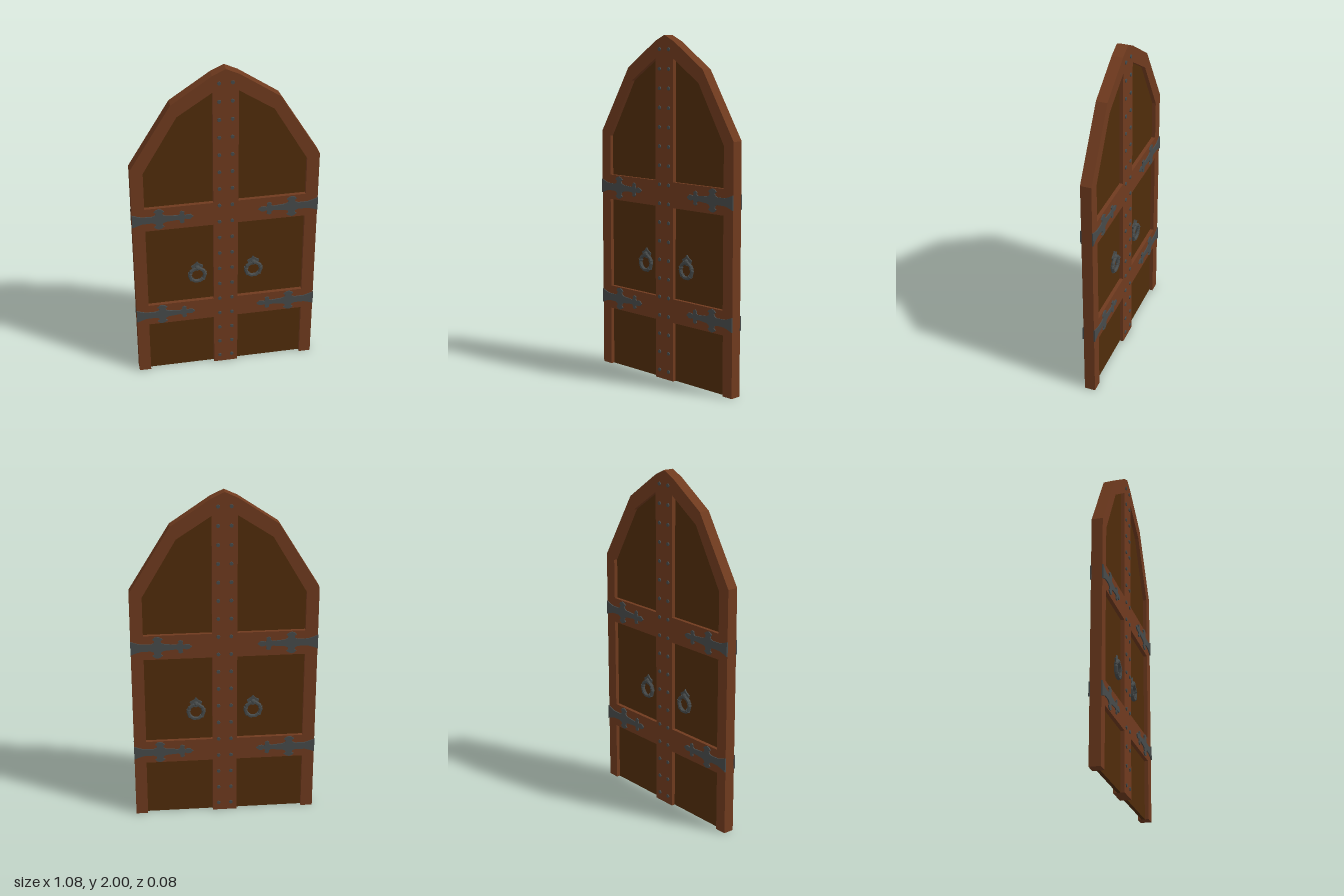
import * as THREE from 'three';

const mat = (name, color) => {
  const m = new THREE.MeshStandardMaterial({ color });
  m.name = name;
  return m;
};
const vectors = pts => pts.map(([x, y]) => new THREE.Vector2(x, y));
// Mirror a loop to side s, keeping its winding
const sided = (pts, s) => (s > 0 ? pts : pts.map(([x, y]) => [-x, y]).reverse());
const slab = (pts, z0, z1, holes = []) => {
  const shape = new THREE.Shape(vectors(pts));
  shape.holes = holes.map(h => new THREE.Path(vectors(h)));
  return new THREE.ExtrudeGeometry(shape, { depth: z1 - z0, bevelEnabled: false }).translate(0, 0, z0);
};
const faceted = geo => {
  const g = geo.toNonIndexed();
  g.computeVertexNormals();
  return g;
};

const HALF = 0.032;   // half thickness of the frame
const PROUD = 0.038;  // face of the ironwork
const PANEL = 0.01;   // half thickness of the recessed panels

// One leaf outline, open at the foot between post and stile
const outline = [
  [0, 0], [0.072, 0], [0.072, 0.35], [0.467, 0.35], [0.467, 0], [0.537, 0],
  [0.537, 1.43], [0.302, 1.812], [0.075, 1.965], [0, 2],
];
const openings = {
  lowerPanel: [[0.072, 0], [0.467, 0], [0.467, 0.35], [0.072, 0.35]],
  middlePanel: [[0.072, 0.49], [0.465, 0.49], [0.465, 1.022], [0.072, 1.022]],
  upperPanel: [[0.072, 1.17], [0.465, 1.17], [0.465, 1.405], [0.27, 1.738], [0.072, 1.868]],
};

// Upper half of a strap hinge, from the tip out to the door edge
const strapEdge = [
  [0.188, 0], [0.205, 0.015], [0.222, 0.016], [0.236, 0.01], [0.242, 0.022], [0.238, 0.034],
  [0.254, 0.042], [0.266, 0.034], [0.264, 0.022], [0.276, 0.014], [0.345, 0.02], [0.362, 0.028],
  [0.366, 0.042], [0.354, 0.05], [0.37, 0.062], [0.386, 0.067], [0.402, 0.062], [0.414, 0.05],
  [0.402, 0.042], [0.406, 0.028], [0.424, 0.021], [0.48, 0.022], [0.51, 0.031], [0.538, 0.042],
];

export function createModel() {
  const wood = mat('frame wood', 0x6f3a1e);
  const dark = mat('panel wood', 0x502c0a);
  const iron = mat('iron', 0x464a4a);
  const door = new THREE.Group();
  door.name = 'archedDoubleDoor';
  const add = (parent, name, geo, m) => {
    const mesh = new THREE.Mesh(geo, m);
    mesh.name = name;
    parent.add(mesh);
    return mesh;
  };

  // Wooden leaves and their recessed panels
  for (const s of [1, -1]) {
    const leaf = new THREE.Group();
    leaf.name = s > 0 ? 'leftLeaf' : 'rightLeaf';
    door.add(leaf);
    const holes = [openings.middlePanel, openings.upperPanel].map(p => sided(p, s));
    add(leaf, 'frame', slab(sided(outline, s), -HALF, HALF, holes), wood);
    for (const [name, pts] of Object.entries(openings))
      add(leaf, name, slab(sided(pts, s), -PANEL, PANEL), dark);
  }

  // Ironwork shapes, shared by both faces
  const strapGeo = slab(
    [...strapEdge, ...strapEdge.slice(1).reverse().map(([x, y]) => [x, -y])], HALF - 0.002, PROUD);
  const rivetGeo = faceted(new THREE.CylinderGeometry(0.0105, 0.0115, 0.008, 8)
    .rotateX(Math.PI / 2).translate(0, 0, PROUD - 0.004));
  const plateGeo = slab([
    [0, 0.09], [-0.012, 0.074], [-0.036, 0.06], [-0.028, 0.036],
    [0, 0.026], [0.028, 0.036], [0.036, 0.06], [0.012, 0.074],
  ], PANEL, PANEL + 0.008);
  const ringGeo = faceted(new THREE.TorusGeometry(0.046, 0.0115, 6, 10));
  const knobGeo = faceted(new THREE.SphereGeometry(0.016, 8, 6));
  const collarGeo = faceted(new THREE.TorusGeometry(0.0115, 0.003, 4, 8));

  for (const turn of [0, Math.PI]) {
    const side = new THREE.Group();
    side.name = turn ? 'backIronwork' : 'frontIronwork';
    side.rotation.y = turn;
    door.add(side);
    for (const s of [1, -1]) {
      // Strap hinges, rolled half a turn for the other side
      for (const y of [0.42, 1.098]) {
        const hinge = add(side, 'strapHinge', strapGeo, iron);
        hinge.position.y = y;
        if (s < 0) hinge.rotation.z = Math.PI;
      }
      // Column of rivets on the centre post
      for (let i = 0; i < 18; i++)
        add(side, 'rivet', rivetGeo, iron).position.set(s * 0.037, 0.05 + i * 0.11, 0);
      // Ring pull with small collars
      const handle = new THREE.Group();
      handle.name = 'ringHandle';
      handle.position.set(s * 0.168, 0.672, 0);
      side.add(handle);
      add(handle, 'backPlate', plateGeo, iron);
      add(handle, 'ring', ringGeo, iron).position.z = 0.0205;
      add(handle, 'knob', knobGeo, iron).position.set(0, 0.05, 0.018);
      for (const a of [-2.4, -0.74, 0.3, 2.84]) {
        const collar = add(handle, 'ringCollar', collarGeo, iron);
        collar.position.set(0.045 * Math.cos(a), 0.045 * Math.sin(a), 0.0205);
        collar.rotation.set(Math.PI / 2, a, 0, 'ZXY');
        collar.rotation.set(Math.PI / 2, 0, a, 'ZYX');
      }
    }
  }
  return door;
}
